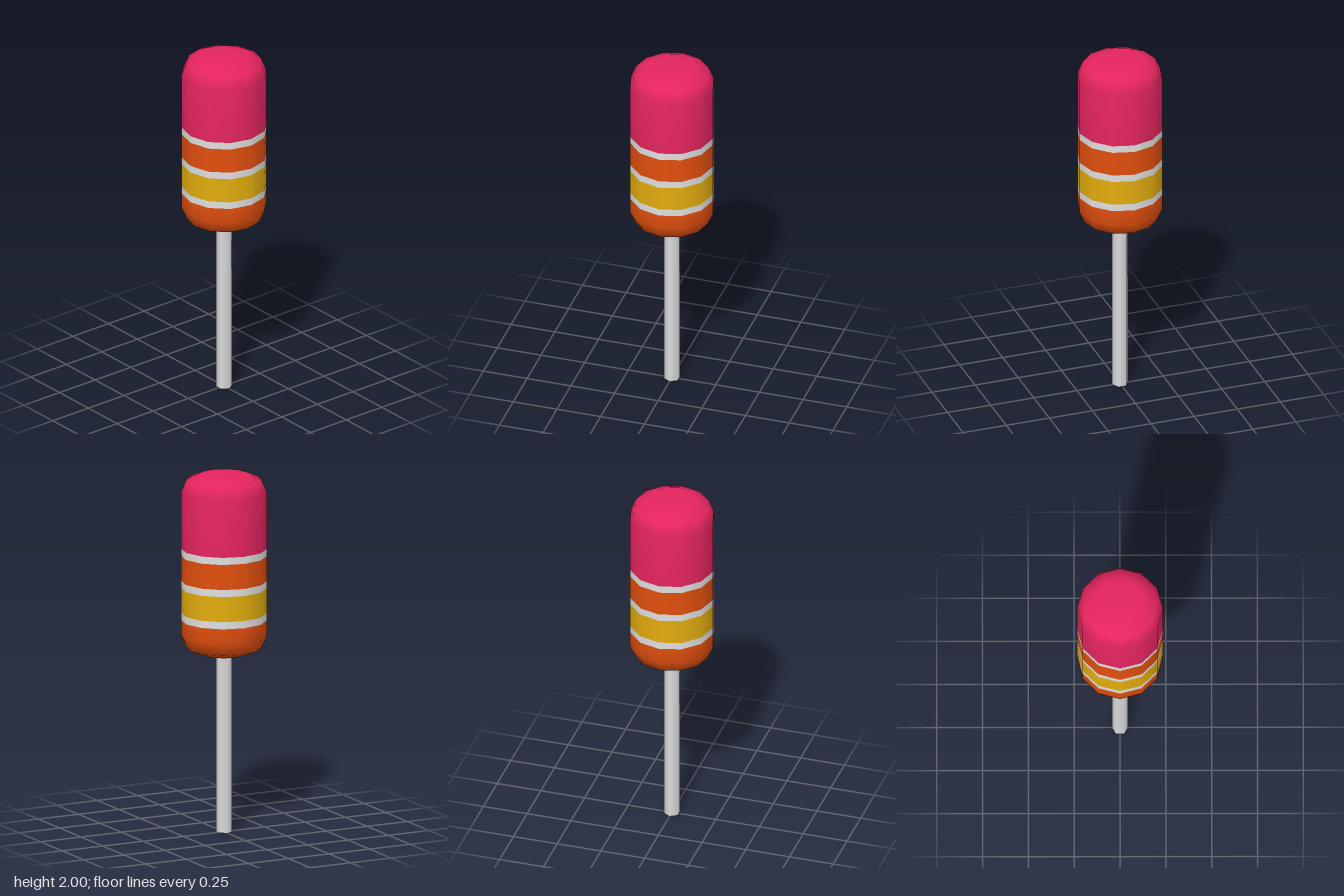
import * as THREE from 'three';

const paint = (name, color) => {
  const m = new THREE.MeshStandardMaterial({ color });
  m.name = name;
  return m;
};

export function createModel() {
  const group = new THREE.Group();
  group.name = 'icePop';

  const pink = paint('pink', 0xe6255f);
  const orange = paint('orange', 0xe34f0e);
  const yellow = paint('yellow', 0xe3ad0e);
  const white = paint('white', 0xe0e0e0);
  const stickGrey = paint('stick grey', 0xdcdcde);

  const add = (name, geometry, material) => {
    const mesh = new THREE.Mesh(geometry, material);
    mesh.name = name;
    group.add(mesh);
    return mesh;
  };

  // Twelve-sided body, stacked from coloured sections sharing one radius
  const R = 0.235;
  const section = (name, material, profile) =>
    add(name, new THREE.LatheGeometry(profile.map(([r, y]) => new THREE.Vector2(r, y)), 12), material);

  // Rounded ends
  section('bottomEnd', orange, [[0, 1], [0.135, 1], [0.205, 1.03], [R, 1.1], [R, 1.185]]);
  section('topEnd', pink, [[R, 1.585], [R, 1.9], [0.205, 1.97], [0.135, 2], [0, 2]]);

  // Straight bands between the ends
  const bands = [
    ['lowerStripe', white, 1.185, 1.225],
    ['yellowBand', yellow, 1.225, 1.365],
    ['middleStripe', white, 1.365, 1.405],
    ['orangeBand', orange, 1.405, 1.545],
    ['upperStripe', white, 1.545, 1.585],
  ];
  for (const [name, material, y0, y1] of bands) section(name, material, [[R, y0], [R, y1]]);

  // Six-sided stick, slightly sunk into the body
  add('stick', new THREE.CylinderGeometry(0.045, 0.045, 1.02, 6), stickGrey).position.y = 0.51;

  return group;
}
